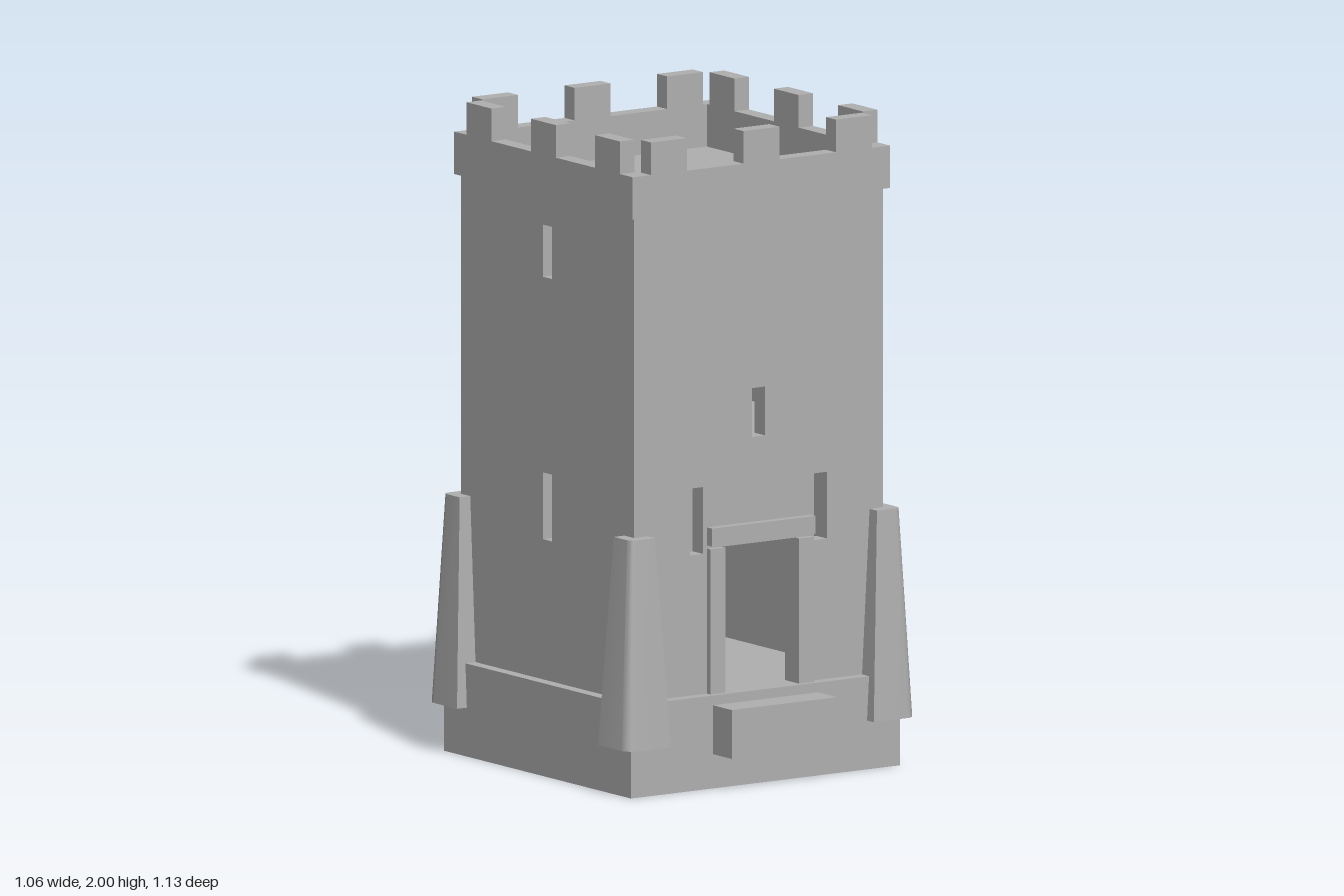
import * as THREE from 'three';
import { toCreasedNormals } from 'three/addons/utils/BufferGeometryUtils.js';

const BODY = 0.458, ROOM = 0.403, CROWN = 0.473, CROWN_IN = 0.42;
const BASE_TOP = 0.285, ROOF = 1.77;

export function createModel() {
  const tower = new THREE.Group();
  tower.name = 'tower';
  const stone = new THREE.MeshStandardMaterial({ color: 0xb0b0b0 });
  stone.name = 'stone';

  const add = (name, geometry, parent = tower) => {
    const mesh = new THREE.Mesh(geometry, stone);
    mesh.name = name;
    parent.add(mesh);
    return mesh;
  };
  // Box given by its limits on each axis
  const box = (name, x0, x1, y0, y1, z0, z1, parent) => {
    const g = new THREE.BoxGeometry(x1 - x0, y1 - y0, z1 - z0);
    g.translate((x0 + x1) / 2, (y0 + y1) / 2, (z0 + z1) / 2);
    return add(name, g, parent);
  };
  const rect = (C, x0, x1, y0, y1) => new C([
    [x0, y0], [x1, y0], [x1, y1], [x0, y1],
  ].map(([x, y]) => new THREE.Vector2(x, y)));

  // Plinth
  box('base', -0.495, 0.495, 0, BASE_TOP, -0.495, 0.495);

  // Walls pierced by slit windows, given as [x, bottom, top]
  const wall = (name, half, angle, slits, door) => {
    const shape = door
      ? new THREE.Shape([
        [-half, BASE_TOP], [-0.135, BASE_TOP], [-0.135, 0.73], [0.135, 0.73],
        [0.135, BASE_TOP], [half, BASE_TOP], [half, ROOF], [-half, ROOF],
      ].map(([x, y]) => new THREE.Vector2(x, y)))
      : rect(THREE.Shape, -half, half, BASE_TOP, ROOF);
    for (const [x, y0, y1] of slits) {
      shape.holes.push(rect(THREE.Path, x - 0.024, x + 0.024, y0, y1));
    }
    const g = new THREE.ExtrudeGeometry(shape, { depth: BODY - ROOM, bevelEnabled: false });
    g.translate(0, 0, ROOM);
    g.rotateY(angle);
    add(name, g);
  };
  const low = [0, 0.715, 0.92], high = [0, 1.24, 1.44];
  wall('frontWall', BODY, 0, [[-0.228, 0.715, 0.92], [0.228, 0.715, 0.92], [0, 1.055, 1.205]], true);
  wall('backWall', BODY, Math.PI, [high]);
  wall('leftWall', ROOM, Math.PI / 2, [low, high]);
  wall('rightWall', ROOM, -Math.PI / 2, [low, [0, 1.52, 1.68]]);

  // Doorway
  for (const s of [-1, 1]) {
    box('doorJamb', s < 0 ? -0.19 : 0.135, s < 0 ? -0.135 : 0.19, BASE_TOP, 0.73, 0.41, 0.477);
  }
  box('doorLintel', -0.19, 0.19, 0.74, 0.795, 0.41, 0.485);
  box('doorStep', -0.193, 0.193, 0.105, 0.255, 0.48, 0.595);

  // Upper floor, and roof deck with an opening for the stairs
  box('upperFloor', -ROOM, ROOM, 1.0, 1.03, -ROOM, ROOM);
  box('roofDeckBack', -ROOM, ROOM, 1.73, ROOF, -ROOM, 0.087);
  box('roofDeckSide', 0.22, ROOM, 1.73, ROOF, 0.087, ROOM);
  box('roofDeckStairHead', 0.175, 0.22, 1.73, ROOF, 0.222, ROOM);

  // Stairs: up along the right wall, a landing, then up along the front wall
  const stairs = new THREE.Group();
  stairs.name = 'stairs';
  tower.add(stairs);
  const riser = 0.0375, tread = 0.0443;
  for (let i = 0; i < 9; i++) {
    const x1 = 0.175 - i * tread, y = ROOF - (i + 1) * riser;
    box('upperStep', x1 - tread, x1, y - 0.08, y, 0.222, ROOM, stairs);
  }
  const landing = ROOF - 10 * riser;
  box('landing', -ROOM, -0.223, landing - 0.08, landing, 0.177, ROOM, stairs);
  for (let i = 0; i < 9; i++) {
    const z1 = 0.177 - i * tread, y = landing - (i + 1) * riser;
    box('lowerStep', -ROOM, -0.223, Math.max(1.03, y - 0.08), y, z1 - tread, z1, stairs);
  }

  // Parapet ring
  const ring = rect(THREE.Shape, -CROWN, CROWN, -CROWN, CROWN);
  ring.holes.push(rect(THREE.Path, -CROWN_IN, CROWN_IN, -CROWN_IN, CROWN_IN));
  const ringGeo = new THREE.ExtrudeGeometry(ring, { depth: 1.9 - ROOF, bevelEnabled: false });
  ringGeo.rotateX(-Math.PI / 2);
  ringGeo.translate(0, ROOF, 0);
  add('parapet', ringGeo);

  // Merlons and corner buttresses, once per side
  const buttressGeo = buttress();
  for (let k = 0; k < 4; k++) {
    const side = new THREE.Group();
    side.name = 'side' + (k + 1);
    side.rotation.y = k * Math.PI / 2;
    tower.add(side);
    for (const x of [-0.34, 0, 0.34]) {
      box('merlon', x - 0.066, x + 0.066, 1.9, 2, CROWN_IN, CROWN, side);
    }
    add('buttress', buttressGeo, side);
  }

  tower.position.z = -0.032;
  const model = new THREE.Group();
  model.add(tower);
  return model;
}

// Tapered L-shaped corner buttress with a rounded outer edge
function buttress() {
  const core = 0.43;
  const section = (y, inner, outer, r) => {
    const pts = [[core, core], [inner, core], [inner, outer]];
    for (let i = 0; i <= 6; i++) {
      const a = (i / 6) * Math.PI / 2;
      pts.push([outer - r + r * Math.sin(a), outer - r + r * Math.cos(a)]);
    }
    pts.push([outer, inner], [core, inner]);
    return pts.map(([x, z]) => [x, y, z]);
  };
  const low = section(0.15, 0.373, 0.531, 0.035);
  const top = section(0.79, 0.408, 0.497, 0.02);
  const n = low.length, v = [];
  for (let i = 0; i < n; i++) {
    const j = (i + 1) % n;
    v.push(low[i], low[j], top[j], low[i], top[j], top[i]);
    if (i > 0 && j > 0) v.push(top[0], top[i], top[j], low[0], low[j], low[i]);
  }
  const g = new THREE.BufferGeometry();
  g.setAttribute('position', new THREE.Float32BufferAttribute(v.flat(), 3));
  return toCreasedNormals(g, 0.6);
}
